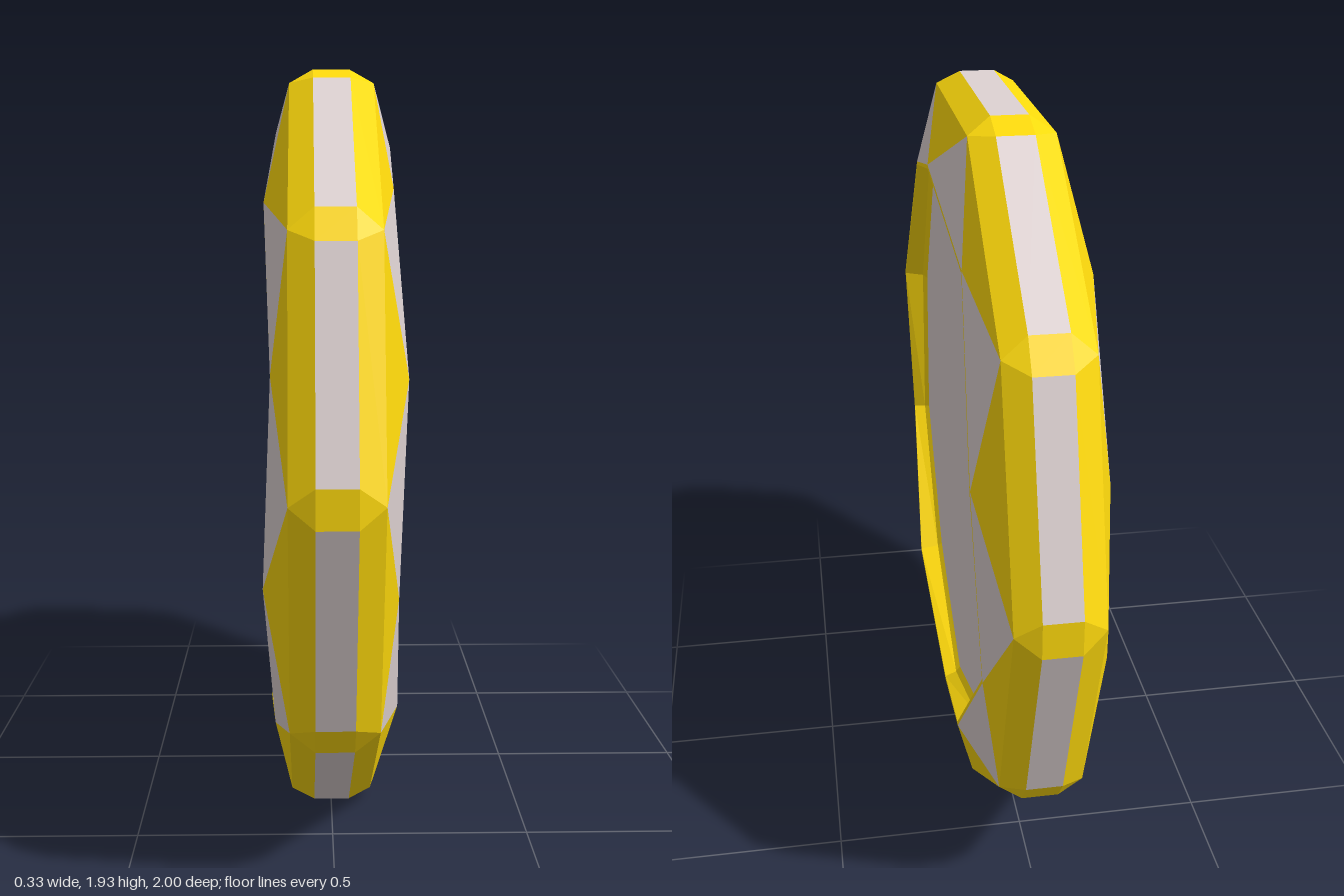
import * as THREE from 'three';

const N = 10, STEP = Math.PI * 2 / N, CY = 0.965;
const yellow = new THREE.MeshStandardMaterial({ color: 0xffda0c, flatShading: true });
const grey = new THREE.MeshStandardMaterial({ color: 0xdfd3d3, flatShading: true });

// Point on the disc: x along the axis, r and angle around it
const pt = (x, r, a) => [x, CY + r * Math.sin(a), r * Math.cos(a)];

// Collects polygons (fan-triangulated); flip reverses the winding
class Faces {
  constructor() { this.pos = []; }
  add(points, flip = false) {
    const p = flip ? [...points].reverse() : points;
    for (let i = 1; i < p.length - 1; i++) this.pos.push(...p[0], ...p[i], ...p[i + 1]);
  }
  mesh(name, material) {
    const g = new THREE.BufferGeometry();
    g.setAttribute('position', new THREE.Float32BufferAttribute(this.pos, 3));
    g.computeVertexNormals();
    const m = new THREE.Mesh(g, material);
    m.name = name;
    return m;
  }
}

const RIM = 1.001;            // radius of the outer band's edges
const CUT = 0.045;            // half angle of each clipped corner
const BAND = 0.046;           // half width of the outer band
const PANEL_X = { 1: 0.1, '-1': -0.03 };

export function createModel() {
  const group = new THREE.Group();
  group.name = 'facetedDisc';

  // Outer rim: flat bands joined by clipped corners
  const bands = new Faces(), corners = new Faces();
  const strip = (a, b) => [pt(-BAND, RIM, a), pt(BAND, RIM, a), pt(BAND, RIM, b), pt(-BAND, RIM, b)];
  for (let k = 0; k < N; k++) {
    const a = k * STEP;
    bands.add(strip(a + CUT, a + STEP - CUT));
    corners.add(strip(a - CUT, a + CUT));
    for (const s of [1, -1]) {
      corners.add([pt(s * BAND, RIM, a - CUT), pt(s * 0.105, 0.976, a), pt(s * BAND, RIM, a + CUT)], s < 0);
    }
  }
  group.add(bands.mesh('outerBands', grey), corners.mesh('outerCorners', yellow));

  for (const s of [1, -1]) {
    const side = new THREE.Group();
    side.name = s > 0 ? 'leftFace' : 'rightFace';
    const flip = s > 0;
    const chamfers = new Faces(), bright = new Faces(), pale = new Faces();
    const bezel = new Faces(), panel = new Faces();

    const outer = k => pt(s * 0.105, 0.976, k * STEP);
    // Inner ring alternates high and low, offset by one step on the other face
    const inner = (k, dr = 0, x) => {
      const high = (k + N) % 2 === (s > 0 ? 0 : 1);
      return pt(x ?? s * (high ? 0.166 : 0.145), (high ? 0.785 : 0.825) + dr, (k + 0.5) * STEP);
    };
    const px = PANEL_X[s];

    // Bezel profile: lip, wall, and a narrow ledge on the shallow side
    const rings = s > 0
      ? [[0], [-0.01], [-0.025, px + 0.012], [-0.042, px]]
      : [[0], [-0.012], [-0.03, px]];

    for (let k = 0; k < N; k++) {
      const a = k * STEP, b = a + STEP;
      chamfers.add([pt(s * BAND, RIM, a + CUT), pt(s * BAND, RIM, b - CUT), outer(k + 1), outer(k)], flip);
      bright.add([outer(k), outer(k + 1), inner(k)], flip);
      pale.add([inner(k - 1), outer(k), inner(k)], flip);
      for (let i = 0; i < rings.length - 1; i++) {
        const [d0, x0] = rings[i], [d1, x1] = rings[i + 1];
        bezel.add([inner(k, d0, x0), inner(k + 1, d0, x0), inner(k + 1, d1, x1), inner(k, d1, x1)], flip);
      }
      const [d] = rings[rings.length - 1];
      panel.add([[px, CY, 0], inner(k, d, px), inner(k + 1, d, px)], flip);
    }
    side.add(
      chamfers.mesh('chamfers', yellow), bright.mesh('outerFacets', yellow),
      pale.mesh('innerFacets', grey), bezel.mesh('bezel', yellow), panel.mesh('panel', grey),
    );
    group.add(side);
  }
  return group;
}
